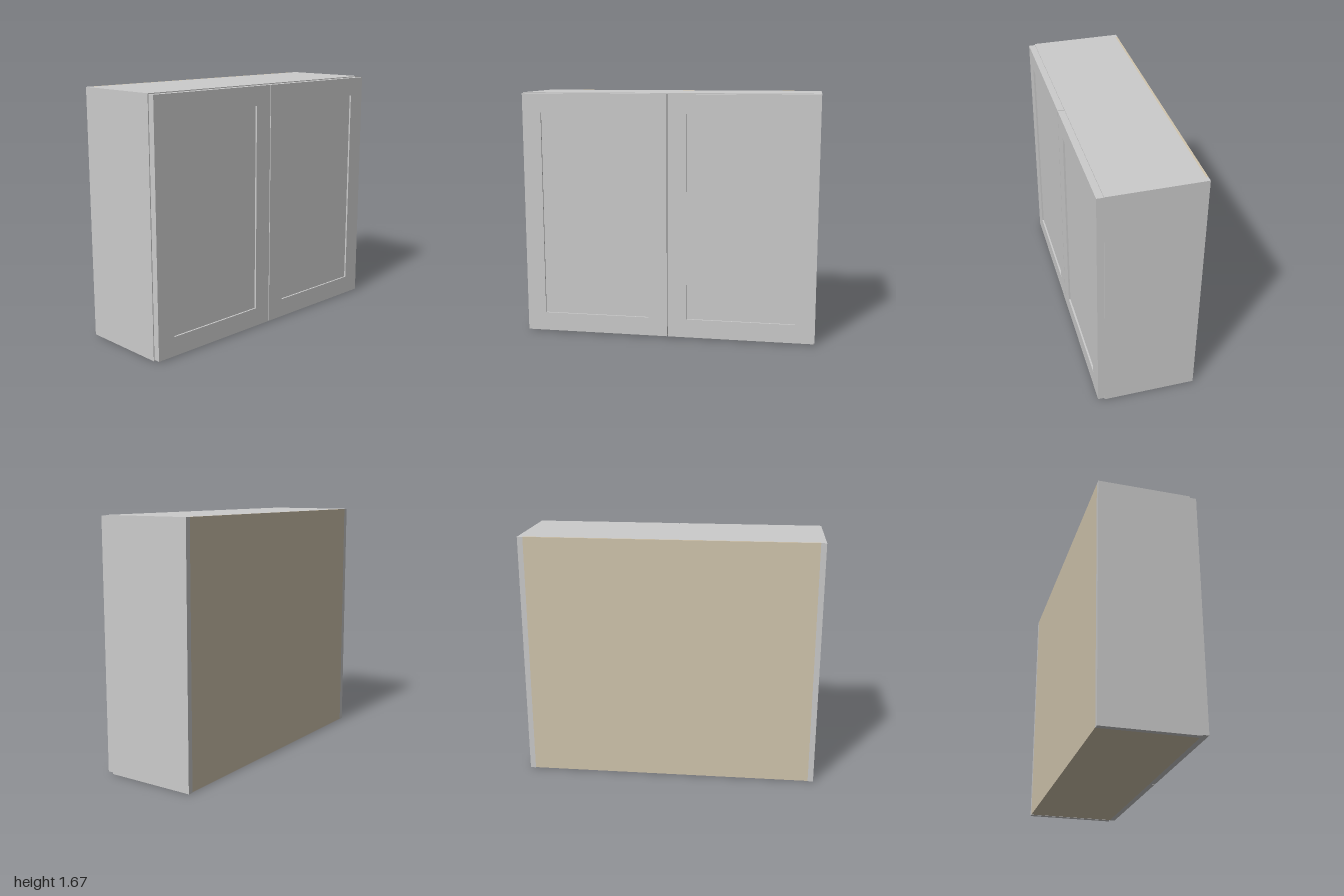
import * as THREE from 'three';

const W = 2, H = 1.667, BACK = -0.333, FACE = 0.289, FRONT = 0.333;
const BOARD = 0.037, BACK_T = 0.014;

export function createModel() {
  const group = new THREE.Group();
  const grey = new THREE.MeshStandardMaterial({ color: 0xcccccc });
  const wood = new THREE.MeshStandardMaterial({ color: 0xd2c6ae });

  // Box given by its two opposite corners
  const box = (name, material, [x0, y0, z0], [x1, y1, z1], parent = group) => {
    const mesh = new THREE.Mesh(new THREE.BoxGeometry(x1 - x0, y1 - y0, z1 - z0), material);
    mesh.position.set((x0 + x1) / 2, (y0 + y1) / 2, (z0 + z1) / 2);
    mesh.name = name;
    parent.add(mesh);
  };

  const rect = (PathType, x0, y0, x1, y1) => new PathType([
    new THREE.Vector2(x0, y0), new THREE.Vector2(x1, y0),
    new THREE.Vector2(x1, y1), new THREE.Vector2(x0, y1),
  ]);

  // Carcass: boards fitted between the two sides
  const inner = W / 2 - BOARD;
  box('rightSide', grey, [-W / 2, 0, BACK], [-inner, H, FACE]);
  box('leftSide', grey, [inner, 0, BACK], [W / 2, H, FACE]);
  box('topBoard', grey, [-inner, H - BOARD, BACK + BACK_T], [inner, H, FACE]);
  box('bottomBoard', wood, [-inner, 0.002, BACK + BACK_T], [inner, BOARD, FACE]);
  box('backPanel', wood, [-inner, 0.002, BACK], [inner, H, BACK + BACK_T]);

  // Pair of framed doors with recessed centre panels
  const bottom = 0.008, top = H - 0.006, rail = 0.128;
  for (const side of [-1, 1]) {
    const door = new THREE.Group();
    door.name = side < 0 ? 'rightDoor' : 'leftDoor';
    const [x0, x1] = side < 0 ? [-0.994, -0.003] : [0.003, 0.994];

    const shape = rect(THREE.Shape, x0, bottom, x1, top);
    shape.holes.push(rect(THREE.Path, x0 + rail, bottom + rail, x1 - rail, top - rail));
    const frame = new THREE.Mesh(
      new THREE.ExtrudeGeometry(shape, { depth: FRONT - FACE, bevelEnabled: false }), grey);
    frame.position.z = FACE;
    frame.name = 'doorFrame';
    door.add(frame);

    box('doorPanel', grey, [x0 + rail, bottom + rail, FACE + 0.008],
      [x1 - rail, top - rail, FRONT - 0.012], door);
    group.add(door);
  }

  return group;
}
